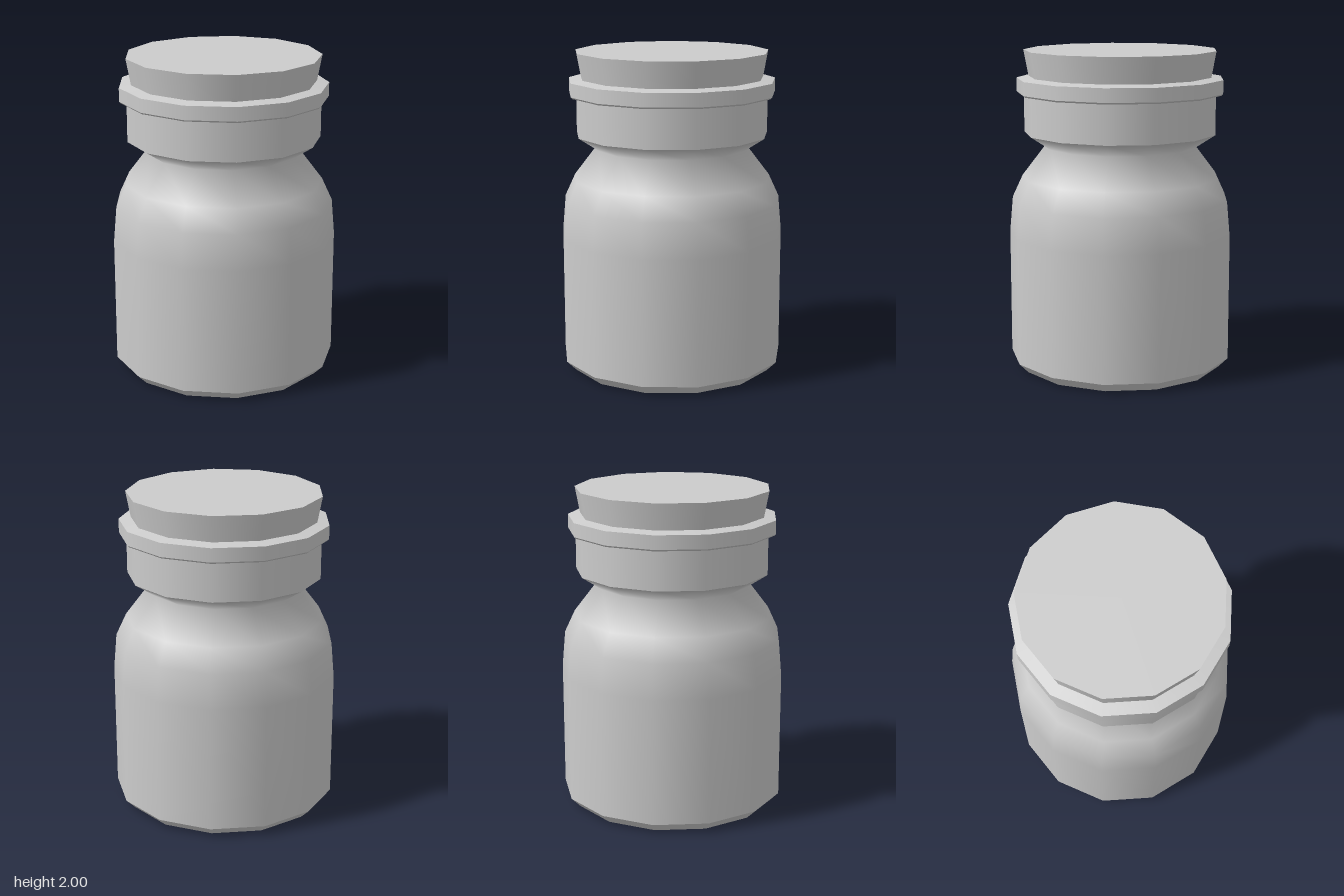
import * as THREE from 'three';

const SIDES = 13;

export function createModel() {
  const group = new THREE.Group();
  group.name = 'stopperedJar';
  const grey = new THREE.MeshStandardMaterial({ color: 0xcccccc });
  grey.name = 'plain grey';

  // Each section is smooth in itself; edges between sections stay sharp.
  const section = (name, profile) => {
    const points = profile.map(([r, y]) => new THREE.Vector2(r, y));
    // Start at the back so that one corner of the polygon points to -z.
    const mesh = new THREE.Mesh(new THREE.LatheGeometry(points, SIDES, Math.PI), grey);
    mesh.name = name;
    mesh.position.z = 0.01;
    group.add(mesh);
  };

  // Jar
  section('jarBase', [[0, 0], [0.645, 0]]);
  section('baseBevel', [[0.645, 0], [0.705, 0.06]]);
  section('jarBody', [
    [0.705, 0.06], [0.705, 0.85], [0.685, 1.07], [0.62, 1.21],
    [0.475, 1.4], [0.605, 1.485],
  ]);
  section('neckBand', [[0.605, 1.485], [0.605, 1.73]]);

  // Rim
  section('rimUnderside', [[0.605, 1.727], [0.64, 1.73], [0.65, 1.74]]);
  section('rimSide', [[0.65, 1.74], [0.65, 1.825]]);
  section('rimTop', [[0.65, 1.825], [0.575, 1.838]]);

  // Flared stopper
  section('stopperSide', [[0.575, 1.838], [0.605, 2]]);
  section('stopperTop', [[0.605, 2], [0, 2]]);

  return group;
}
